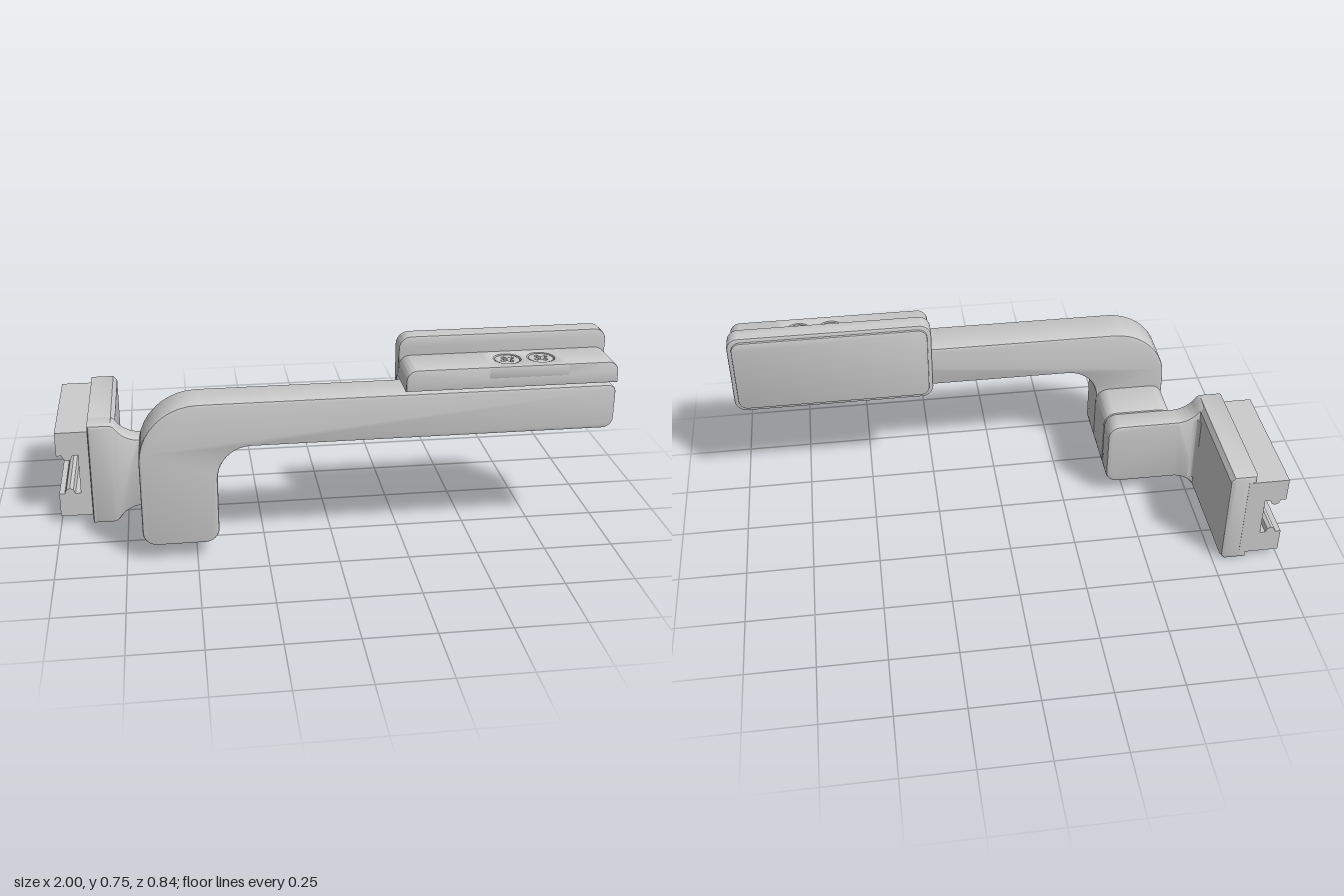
import * as THREE from 'three';
import { toCreasedNormals } from 'three/addons/utils/BufferGeometryUtils.js';

const material = new THREE.MeshStandardMaterial({ color: 0xcccccc });

// Closed outline from corners [x, y, radius]
function outline(corners) {
  const shape = new THREE.Shape();
  const n = corners.length;
  corners.forEach(([x, y, r = 0], i) => {
    const c = new THREE.Vector2(x, y);
    const toward = (j, d) => new THREE.Vector2(corners[j][0], corners[j][1]).sub(c).setLength(d).add(c);
    const prev = (i + n - 1) % n, next = (i + 1) % n;
    const a = r ? toward(prev, r) : c;
    if (i === 0) shape.moveTo(a.x, a.y); else shape.lineTo(a.x, a.y);
    if (r) {
      const b = toward(next, r), h1 = toward(prev, r * 0.448), h2 = toward(next, r * 0.448);
      shape.bezierCurveTo(h1.x, h1.y, h2.x, h2.y, b.x, b.y);
    }
  });
  shape.closePath();
  return shape;
}

const rect = (x0, x1, y0, y1, rBottom = 0, rTop = rBottom) =>
  outline([[x0, y0, rBottom], [x1, y0, rBottom], [x1, y1, rTop], [x0, y1, rTop]]);

// Extrude along z from z0 to z1, with edges bevelled inside the outline
function extrude(shape, z0, z1, bevel = 0) {
  const geo = new THREE.ExtrudeGeometry(shape, {
    depth: z1 - z0 - 2 * bevel, curveSegments: 10,
    bevelEnabled: bevel > 0, bevelThickness: bevel, bevelSize: bevel, bevelOffset: -bevel, bevelSegments: 2,
  });
  return geo.translate(0, 0, z0 + bevel);
}

// Same, but upward: the outline lies in (x, -z)
const extrudeUp = (shape, y0, y1, bevel) => extrude(shape, y0, y1, bevel).rotateX(-Math.PI / 2);

function part(parent, name, geo) {
  const mesh = new THREE.Mesh(toCreasedNormals(geo, 0.5), material);
  mesh.name = name;
  parent.add(mesh);
}

export function createModel() {
  const model = new THREE.Group();
  model.name = 'offsetMountArm';

  // Bent arm and the post behind its lower end
  part(model, 'arm', extrude(outline([
    [-0.69, 0.065, 0.05], [-0.42, 0.065, 0.05], [-0.42, 0.43, 0.12],
    [0.995, 0.43, 0.04], [0.995, 0.595, 0.03], [-0.69, 0.595, 0.21],
  ]), 0.265, 0.42, 0.008));
  part(model, 'post', extrude(rect(-0.69, -0.42, 0.065, 0.338, 0.05), 0.103, 0.275, 0.006));

  // Connecting plate flaring out to the rail clamp
  part(model, 'connectorPlate', extrude(outline([
    [-0.42, 0.065, 0.05], [-0.42, 0.338, 0.05], [-0.74, 0.338, 0.045], [-0.79, 0.4, 0.012],
    [-0.88, 0.4], [-0.88, 0.002], [-0.79, 0.002, 0.012], [-0.74, 0.065, 0.045],
  ]), 0.01, 0.103, 0.012));

  // Rail clamp: a bevelled body and a slotted jaw strip
  const rail = new THREE.Group();
  rail.name = 'railClamp';
  model.add(rail);
  part(rail, 'clampBody', extrude(outline([
    [-0.88, 0], [-0.795, 0], [-0.78, 0.018], [-0.78, 0.382], [-0.795, 0.4], [-0.88, 0.4],
  ]), -0.417, 0.09, 0.014));
  const upper = [
    [-0.92, 0.278], [-0.94, 0.278], [-0.947, 0.262], [-0.96, 0.256], [-0.973, 0.262],
    [-0.98, 0.278], [-1, 0.278], [-1, 0.37], [-0.85, 0.37],
  ];
  const lower = upper.map(([x, y]) => [x, 0.4 - y]).reverse();
  part(rail, 'clampJaws', extrude(outline([...lower, ...upper].reverse()), -0.418, 0.08));

  // Concave fillet in the corner between connector and clamp
  const fillet = new THREE.Shape();
  fillet.moveTo(-0.79, -0.02);
  fillet.lineTo(-0.755, -0.02);
  fillet.lineTo(-0.755, -0.01);
  fillet.quadraticCurveTo(-0.78, -0.01, -0.78, 0.015);
  fillet.lineTo(-0.79, 0.015);
  part(model, 'cornerFillet', extrudeUp(fillet, 0.06, 0.343));

  // Bracket: back plate, thick upper lip and pad
  const bracket = new THREE.Group();
  bracket.name = 'plateBracket';
  model.add(bracket);
  part(bracket, 'backPlate', extrude(rect(0.24, 0.998, 0.425, 0.752, 0.045), 0.196, 0.235, 0.007));
  part(bracket, 'upperLip', extrude(rect(0.24, 0.998, 0.603, 0.752, 0, 0.045), 0.21, 0.264, 0.007));
  part(bracket, 'pad', extrude(rect(0.256, 0.982, 0.441, 0.736, 0.035), 0.187, 0.2, 0.003));

  // Top flange, notched for the drilled insert
  const b = 0.006, n0 = 0.54, n1 = 0.81;
  part(bracket, 'flange', extrude(outline([
    [0.24, 0.603], [0.998, 0.603], [0.998, 0.682, 0.04], [n1, 0.682],
    [n1, 0.645], [n0, 0.645], [n0, 0.682], [0.24, 0.682, 0.04],
  ]), 0.25, 0.419, b));
  const insert = rect(n0 - b, n1 + b, -0.419, -0.25);
  const screwX = [0.615, 0.737], screwZ = 0.337;
  for (const x of screwX) {
    insert.holes.push(new THREE.Path().absarc(x, -screwZ, 0.048, 0, Math.PI * 2, true));
  }
  part(bracket, 'drilledInsert', extrudeUp(insert, 0.635, 0.682, b));

  // Countersunk cross-head screws
  const w = 0.007, l = 0.027;
  const cross = [[l, -w], [l, w], [w, w], [w, l], [-w, l], [-w, w], [-l, w], [-l, -w], [-w, -w], [-w, -l], [w, -l], [w, -w]];
  for (const x of screwX) {
    const head = new THREE.Shape().absarc(0, 0, 0.045, 0, Math.PI * 2, false);
    head.holes.push(new THREE.Path(cross.map(([u, v]) => new THREE.Vector2(u, v)).reverse()));
    const geo = extrudeUp(head, 0.642, 0.679, 0.003).rotateY(0.55).translate(x, 0, screwZ);
    part(bracket, 'screw', geo);
  }
  return model;
}
